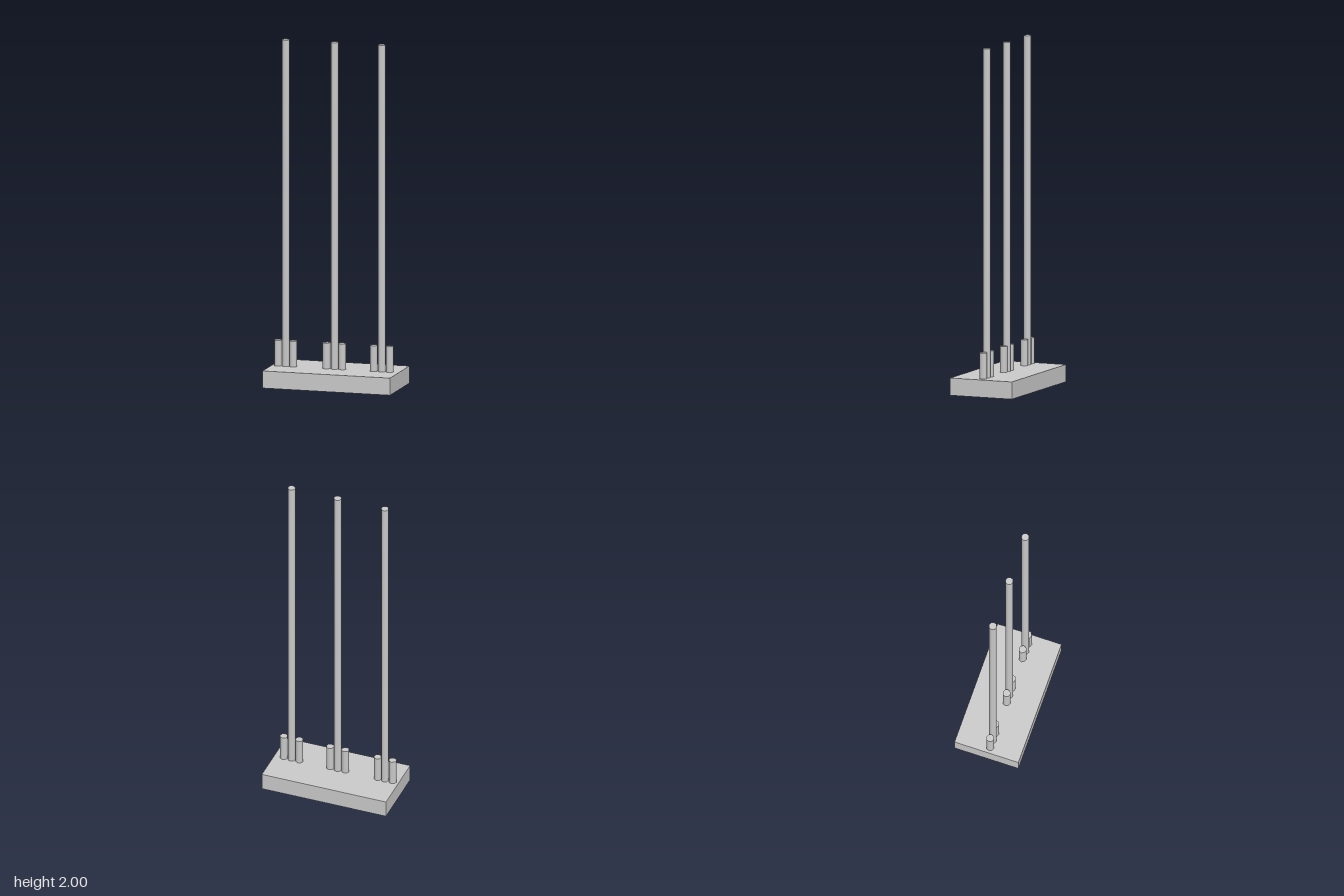
import * as THREE from 'three';

const material = new THREE.MeshStandardMaterial({ color: 0xcccccc });
const BASE_TOP = 0.1;
const ROD_RADIUS = 0.023;
const ROD_Z = 0.01;

// Eight-sided upright rod standing on the base
function makeRod(name, x, top) {
  const height = top - BASE_TOP;
  const rod = new THREE.Mesh(new THREE.CylinderGeometry(ROD_RADIUS, ROD_RADIUS, height, 8), material);
  rod.name = name;
  rod.position.set(x, BASE_TOP + height / 2, ROD_Z);
  return rod;
}

export function createModel() {
  const model = new THREE.Group();
  model.name = 'rodStand';

  // Rectangular base slab
  const base = new THREE.Mesh(new THREE.BoxGeometry(0.76, BASE_TOP, 0.386), material);
  base.name = 'base';
  base.position.y = BASE_TOP / 2;
  model.add(base);

  // Three clusters: a tall rod between two short pegs
  const clusters = [
    ['right', -0.343, -0.296, -0.252],
    ['middle', -0.054, -0.006, 0.04],
    ['left', 0.228, 0.276, 0.323],
  ];
  for (const [side, pegA, tall, pegB] of clusters) {
    const cluster = new THREE.Group();
    cluster.name = `${side}Cluster`;
    cluster.add(
      makeRod('shortPegRight', pegA, 0.25),
      makeRod('tallRod', tall, 2),
      makeRod('shortPegLeft', pegB, 0.25),
    );
    model.add(cluster);
  }
  return model;
}
